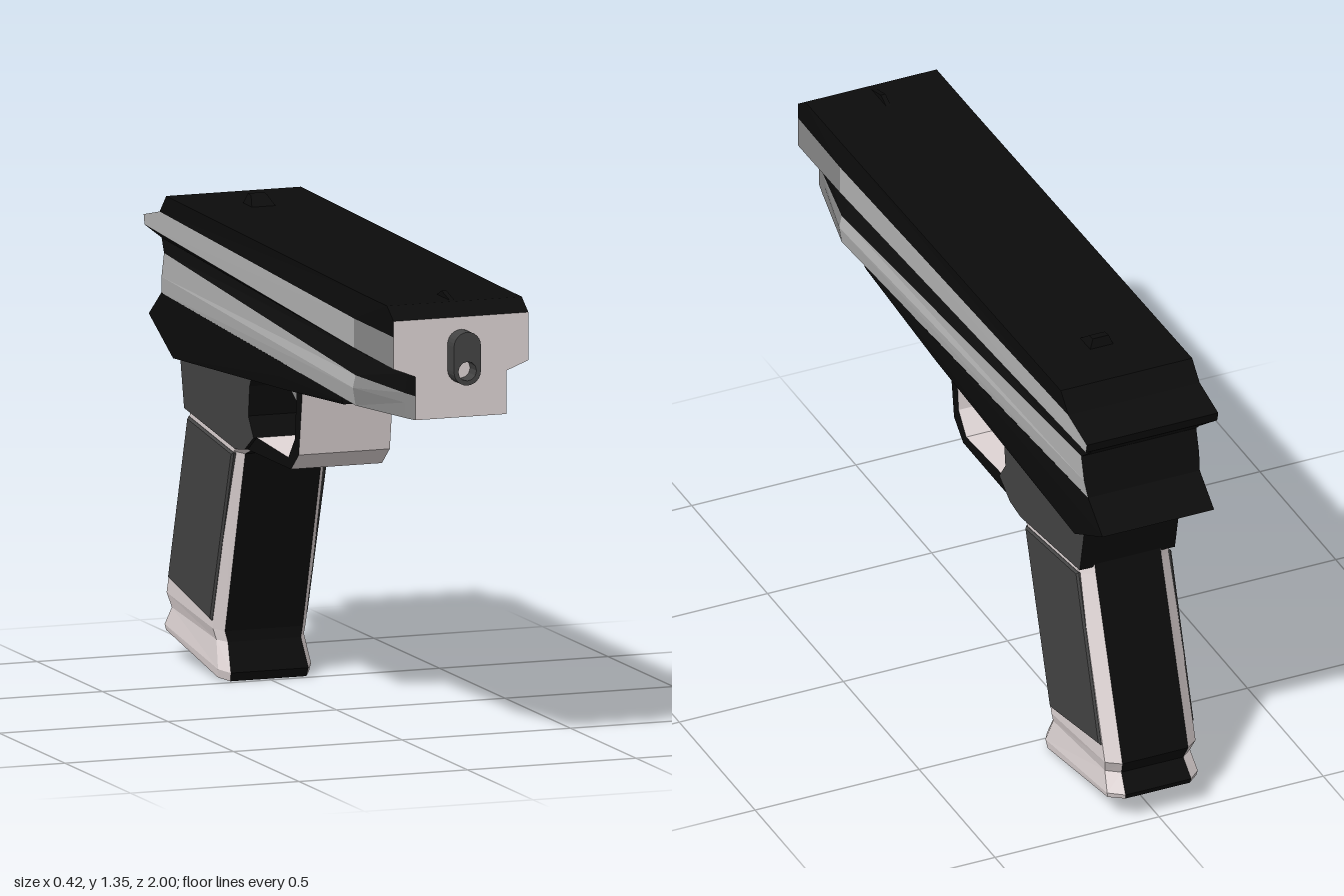
import * as THREE from 'three';

const paint = (color) => new THREE.MeshStandardMaterial({ color, flatShading: true, side: THREE.DoubleSide });

export function createModel() {
  const model = new THREE.Group();
  const black = paint(0x0c0c0c), steel = paint(0xb4b4b4), dimSteel = paint(0x8a8a8a);
  const dark = paint(0x444444), pale = paint(0xe0d6d6);

  const add = (name, geometry, material) => {
    const mesh = new THREE.Mesh(geometry, material);
    mesh.name = name;
    model.add(mesh);
    return mesh;
  };

  // Strip of quads between two polylines, mirrored across x = 0
  const band = (name, material, a, b) => {
    const pos = [];
    for (const s of [1, -1]) {
      for (let i = 0; i + 1 < a.length; i++) {
        const quad = [a[i], a[i + 1], b[i + 1], a[i], b[i + 1], b[i]];
        if (s < 0) quad.reverse();
        quad.forEach(([x, y, z]) => pos.push(s * x, y, z));
      }
    }
    const g = new THREE.BufferGeometry();
    g.setAttribute('position', new THREE.Float32BufferAttribute(pos, 3));
    g.computeVertexNormals();
    return add(name, g, material);
  };
  const toCentre = (line) => line.map(([, y, z]) => [0, y, z]);

  // Side outline of [z, y] points, extruded across the width
  const plate = (name, outline, width, sideMat, rimMat = sideMat, bevel = 0) => {
    const shape = new THREE.Shape(outline.map(([z, y]) => new THREE.Vector2(z, y)));
    const g = new THREE.ExtrudeGeometry(shape, {
      depth: width - 2 * bevel, bevelEnabled: bevel > 0, bevelThickness: bevel,
      bevelSize: bevel, bevelOffset: -bevel, bevelSegments: 1,
    });
    g.translate(0, 0, -width / 2 + bevel);
    g.rotateY(-Math.PI / 2);
    return add(name, g, [sideMat, rimMat]);
  };

  // Slide: long edges from muzzle to rear, top to bottom
  const edges = [
    [[0.2, 1.27, 0.95], [0.2, 1.305, 0.9], [0.2, 1.307, 0.66], [0.2, 1.33, -0.785]],
    [[0.2, 1.225, 0.95], [0.201, 1.226, 0.9], [0.205, 1.23, 0.66], [0.2, 1.278, -0.835]],
    [[0.2, 1.135, 0.95], [0.201, 1.137, 0.9], [0.205, 1.147, 0.66], [0.2, 1.222, -0.95]],
    [[0.135, 1.11, 0.95], [0.14, 1.112, 0.9], [0.165, 1.122, 0.66], [0.165, 1.19, -0.91]],
    [[0.135, 1.055, 0.95], [0.147, 1.057, 0.9], [0.2, 1.07, 0.66], [0.175, 1.155, -0.866]],
    [[0.135, 1.03, 0.95], [0.147, 1.03, 0.9], [0.208, 1.035, 0.66], [0.175, 1.085, -0.885]],
    [[0.135, 0.988, 0.95], [0.147, 0.987, 0.9], [0.2, 0.985, 0.66], [0.17, 1.037, -0.9]],
  ];
  band('slideTop', black, toCentre(edges[0]), edges[0]);
  const sideNames = ['slideShoulder', 'upperFlat', 'grooveTop', 'grooveBottom', 'lowerFlatTop', 'lowerFlat'];
  sideNames.forEach((name, i) => {
    const light = [1, 4, 5].includes(i);
    const [a, b] = [edges[i], edges[i + 1]];
    band(name + 'Front', light ? dimSteel : black, a.slice(0, 3), b.slice(0, 3));
    band(name, light ? steel : black, a.slice(2), b.slice(2));
  });
  band('slideUnderside', black, edges[6], toCentre(edges[6]));
  const muzzle = edges.map((e) => e[0]);
  band('muzzleFace', pale, muzzle, toCentre(muzzle));

  // Rear of the slide, with the overhanging tail below the top
  const tail = [0.2, 1.25, -0.957];
  const rear = [edges[0][3], edges[1][3], tail, ...edges.slice(2).map((e) => e[3])];
  band('slideRear', black, toCentre(rear), rear);
  band('slideTail', steel, [edges[1][3], tail], [edges[2][3], edges[2][3]]);

  // Frame under the slide, flaring to a rear tang
  const frameTop = [[0.19, 0.988, 0.53], [0.19, 1.005, 0.07], [0.17, 1.037, -0.9]];
  const frameMid = [[0.19, 0.975, 0.53], [0.19, 0.965, 0.07], [0.17, 0.963, -0.995]];
  const frameLow = [[0.185, 0.965, 0.53], [0.185, 0.93, 0.07], [0.17, 0.868, -0.81]];
  band('frameSide', black, frameTop, frameMid);
  band('frameChamfer', black, frameMid, frameLow);
  band('frameUnderside', black, frameLow, toCentre(frameLow));
  const frameNose = [frameTop[0], frameMid[0], frameLow[0]];
  band('frameNose', black, frameNose, toCentre(frameNose));
  const tang = [frameTop[2], frameMid[2], frameLow[2]];
  band('rearTang', black, toCentre(tang), tang);

  // Lower body, trigger guard and trigger
  plate('lowerBody', [[-0.25, 0.95], [-0.29, 0.875], [-0.3, 0.79], [-0.26, 0.735], [-0.33, 0.69],
    [-0.4, 0.68], [-0.79, 0.73], [-0.82, 0.87], [-0.84, 0.95]], 0.29, dark, black);
  plate('triggerGuard', [[0.09, 0.94], [0.06, 0.74], [0, 0.69], [-0.33, 0.69], [-0.33, 0.735],
    [-0.26, 0.735], [-0.02, 0.72], [0.03, 0.78], [0.045, 0.94]], 0.27, black, pale);
  plate('trigger', [[-0.13, 0.93], [-0.125, 0.85], [-0.09, 0.765], [-0.145, 0.76], [-0.185, 0.83],
    [-0.245, 0.865], [-0.24, 0.93]], 0.08, dimSteel);

  // Handle: front [z, y], back [z, y] and width factor at each height
  const levels = [
    [-0.33, 0.69, -0.79, 0.745, 1], [-0.4, 0.665, -0.8, 0.71, 1], [-0.555, 0.14, -0.975, 0.19, 1],
    [-0.55, 0.11, -0.955, 0.15, 0.94], [-0.51, 0.03, -0.995, 0.1, 1], [-0.52, 0.005, -0.99, 0.085, 0.98],
  ];
  const column = (u, x) => levels.map(([fz, fy, bz, by, w]) => [
    x * w, fy + (by - fy) * u, fz + (bz - fz) * u,
  ]);
  const ring = [[0, 0], [0, 0.115], [0.08, 0.138], [0.92, 0.138], [1, 0.1], [1, 0]];
  const columns = ring.map(([u, x]) => column(u, x));
  const handleParts = [['frontStrap', black], ['frontTrim', pale], ['handleSide', pale],
    ['backTrim', pale], ['backStrap', black]];
  handleParts.forEach(([name, mat], i) => band(name, mat, columns[i + 1], columns[i]));
  const base = columns.map((c) => c[5]);
  band('handleBase', black, toCentre(base), base);
  plate('gripPanel', [[-0.425, 0.665], [-0.77, 0.71], [-0.92, 0.23], [-0.59, 0.165]], 0.29, dark, dark, 0.006);

  // Oval muzzle with a bore in its lower half
  const oval = new THREE.Shape();
  oval.absarc(0, 1.195, 0.04, 0, Math.PI, false);
  oval.absarc(0, 1.125, 0.04, Math.PI, Math.PI * 2, false);
  const bore = new THREE.Path();
  bore.absarc(0, 1.125, 0.027, 0, Math.PI * 2, true);
  oval.holes.push(bore);
  const barrel = new THREE.ExtrudeGeometry(oval, { depth: 0.06, bevelEnabled: false, curveSegments: 6 });
  add('barrel', barrel.translate(0, 0, 0.94), dark);

  // Sights
  plate('frontSight', [[0.9, 1.3], [0.82, 1.322], [0.785, 1.306], [0.68, 1.3]], 0.014, black);
  const sight = plate('rearSight', [[-0.54, 1.315], [-0.59, 1.352], [-0.615, 1.355], [-0.625, 1.315]], 0.08, black);
  const p = sight.geometry.attributes.position;
  for (let i = 0; i < p.count; i++) if (p.getY(i) > 1.33) p.setX(i, p.getX(i) * 0.6);
  sight.geometry.computeVertexNormals();

  return model;
}
